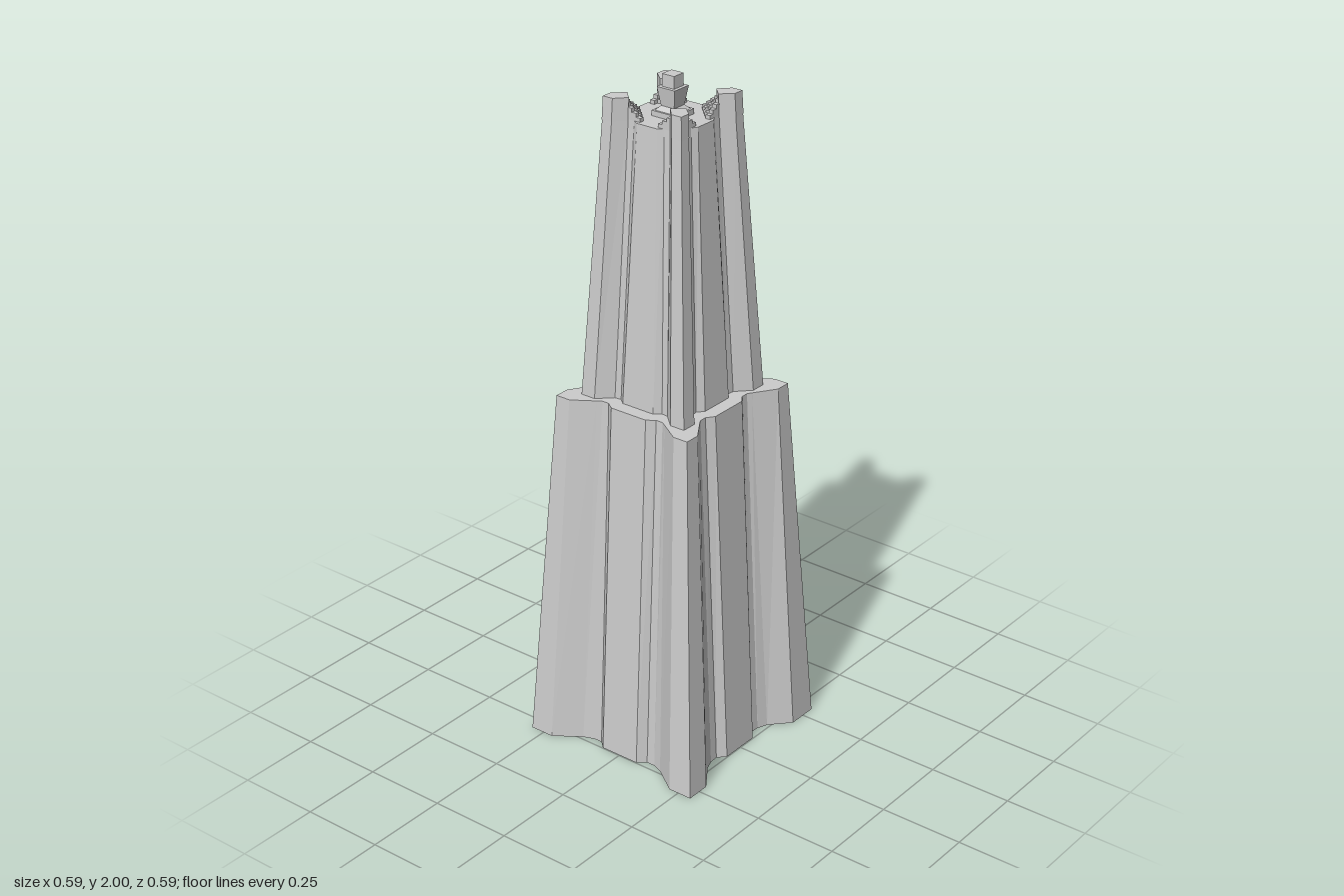
import * as THREE from 'three';

const material = new THREE.MeshStandardMaterial({ color: 0xcccccc, flatShading: true });

function add(parent, name, geometry, x = 0, y = 0, z = 0) {
  const mesh = new THREE.Mesh(geometry, material);
  mesh.name = name;
  mesh.position.set(x, y, z);
  parent.add(mesh);
  return mesh;
}

// Full plan outline (x, -z) from half of one side, listed from centre bay to corner
function outline(half) {
  const mirrored = half.slice(0, -1).reverse().map(([a, b]) => [b, a]);
  const ring = [];
  for (let k = 0; k < 4; k++) {
    for (const [a, b] of [...half, ...mirrored]) {
      ring.push([[a, b], [-b, a], [-a, -b], [b, -a]][k]);
    }
  }
  return ring.map(([a, b]) => new THREE.Vector2(a, b));
}

// Closed solid between two matching counter-clockwise outlines
function loft(bottom, top, y0, y1) {
  const pos = [];
  const put = (p, y) => pos.push(p.x, y, -p.y);
  const n = bottom.length;
  for (let i = 0; i < n; i++) {
    const j = (i + 1) % n;
    put(bottom[i], y0); put(bottom[j], y0); put(top[j], y1);
    put(bottom[i], y0); put(top[j], y1); put(top[i], y1);
  }
  for (const [a, b, c] of THREE.ShapeUtils.triangulateShape(top, [])) {
    put(top[a], y1); put(top[b], y1); put(top[c], y1);
  }
  for (const [a, b, c] of THREE.ShapeUtils.triangulateShape(bottom, [])) {
    put(bottom[c], y0); put(bottom[b], y0); put(bottom[a], y0);
  }
  const g = new THREE.BufferGeometry();
  g.setAttribute('position', new THREE.Float32BufferAttribute(pos, 3));
  g.computeVertexNormals();
  return g;
}

const square = (r) => [[r, -r], [r, r], [-r, r], [-r, -r]].map(([a, b]) => new THREE.Vector2(a, b));

export function createModel() {
  const tower = new THREE.Group();
  tower.name = 'tower';

  // Lower tier with splayed corner buttresses, slightly deeper at the back
  const base = outline([[0.248, 0.062], [0.227, 0.085], [0.228, 0.112], [0.24, 0.143], [0.293, 0.219], [0.293, 0.293]]);
  for (const p of base) if (Math.abs(p.x) > 0.29 && Math.abs(p.y - 0.219) < 0.001) p.y = 0.2;
  const shoulder = outline([[0.195, 0.06], [0.178, 0.083], [0.178, 0.105], [0.186, 0.118], [0.228, 0.182], [0.228, 0.228]]);
  add(tower, 'lowerTier', loft(base, shoulder, 0, 1.08));

  // Upper tier
  const roofY = 1.885;
  const upperBase = outline([[0.154, 0.053], [0.138, 0.072], [0.14, 0.092], [0.179, 0.133], [0.179, 0.179]]);
  const upperTop = outline([[0.11, 0.033], [0.1, 0.05], [0.1, 0.07], [0.132, 0.1], [0.132, 0.132]]);
  add(tower, 'upperTier', loft(upperBase, upperTop, 1.08, roofY));

  // Buttress tips and stepped roof corners
  const tip = [[0.07, 0.1], [0.1, 0.07], [0.133, 0.1], [0.133, 0.133], [0.1, 0.133]]
    .map(([a, b]) => new THREE.Vector2(a, b));
  const tipGeometry = loft(tip, tip.map((p) => p.clone().multiplyScalar(0.98)), roofY - 0.005, 1.945);
  for (let k = 0; k < 4; k++) {
    const corner = new THREE.Group();
    corner.name = 'roofCorner';
    corner.rotation.y = k * Math.PI / 2;
    add(corner, 'buttressTip', tipGeometry);
    const cell = 0.014;
    for (let i = 0; i < 5; i++) {
      for (let j = 0; j < 5; j++) {
        const h = (i + j - 3) * 0.011;
        if (h <= 0) continue;
        add(corner, 'roofStep', new THREE.BoxGeometry(cell, h, cell),
          0.03 + (i + 0.5) * cell, roofY + h / 2, -0.03 - (j + 0.5) * cell);
      }
    }
    tower.add(corner);
  }

  // Central finial
  add(tower, 'finialPlinth', loft(square(0.04), square(0.04), roofY, 1.9));
  add(tower, 'finialFoot', loft(square(0.034), square(0.022), 1.9, 1.912));
  add(tower, 'finialLantern', loft(square(0.022), square(0.03), 1.912, 1.965));
  add(tower, 'finialCap', loft(square(0.02), square(0.02), 1.965, 2));
  return tower;
}
